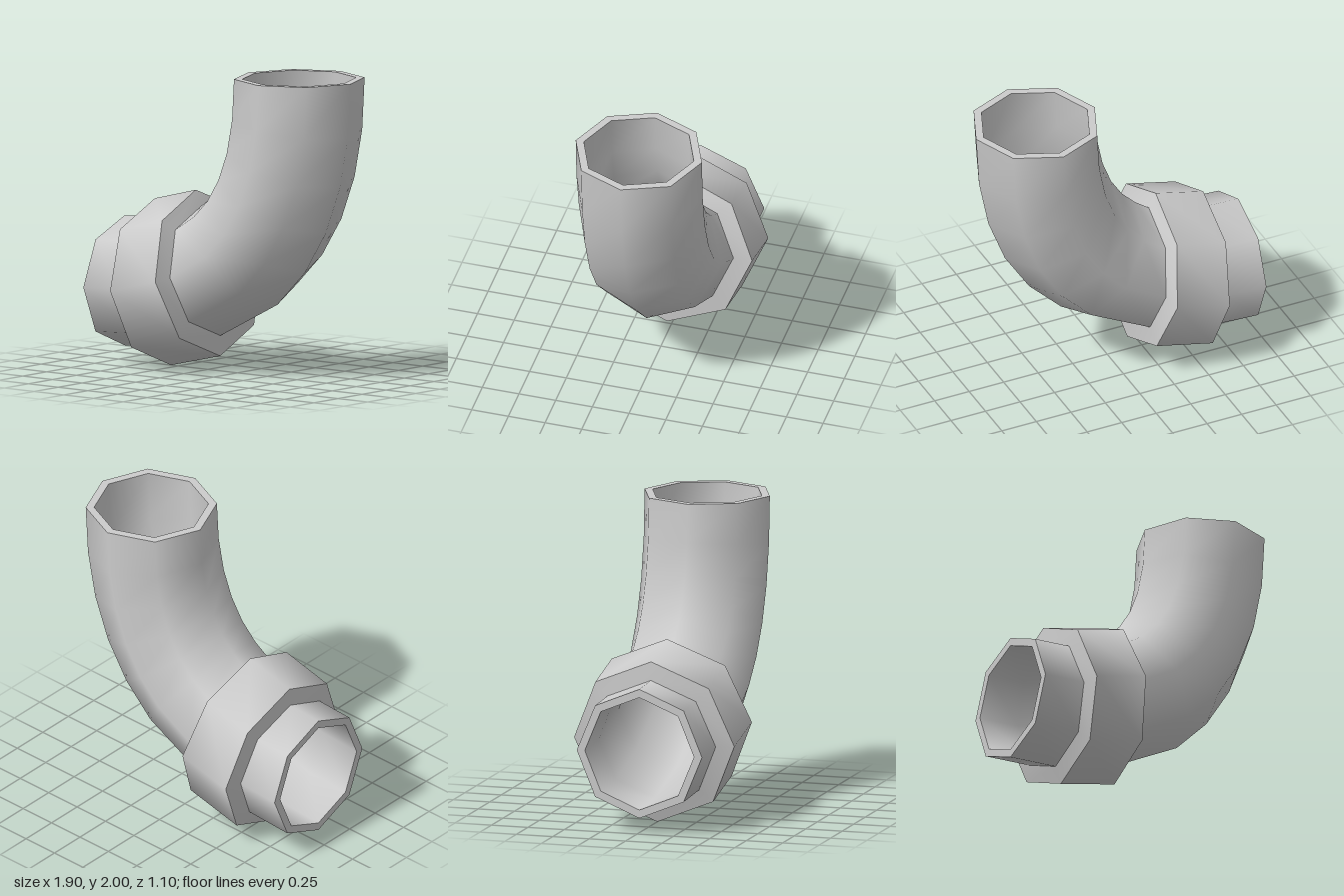
import * as THREE from 'three';
import { toCreasedNormals } from 'three/addons/utils/BufferGeometryUtils.js';

const SIDES = 8;

// A ring is a centre (x, y), the heading of the pipe there and a radius.
const ring = (x, y, angle, r) => ({ x, y, angle, r });

// Skin a row of octagonal rings.
function loft(rings) {
  const pos = [], index = [];
  for (const { x, y, angle, r } of rings) {
    for (let j = 0; j < SIDES; j++) {
      const phi = (j / SIDES) * Math.PI * 2;
      const n = r * Math.cos(phi);
      pos.push(x - n * Math.sin(angle), y + n * Math.cos(angle), r * Math.sin(phi));
    }
  }
  for (let i = 0; i < rings.length - 1; i++) {
    for (let j = 0; j < SIDES; j++) {
      const k = (j + 1) % SIDES;
      const a = i * SIDES + j, b = i * SIDES + k;
      const c = b + SIDES, d = a + SIDES;
      index.push(a, b, c, a, c, d);
    }
  }
  const geo = new THREE.BufferGeometry();
  geo.setAttribute('position', new THREE.Float32BufferAttribute(pos, 3));
  geo.setIndex(index);
  return toCreasedNormals(geo, 0.9);
}

export function createModel() {
  const group = new THREE.Group();
  group.name = 'pipeElbow';
  const material = new THREE.MeshStandardMaterial({ color: 0xcccccc });
  const add = (name, rings) => {
    const mesh = new THREE.Mesh(loft(rings), material);
    mesh.name = name;
    group.add(mesh);
  };

  const OUTER = 0.43, INNER = 0.375, COLLAR = 0.55;

  // Centre line: a quarter bend from the side opening to the top opening
  const bend = [];
  for (let i = 0; i <= 9; i++) {
    const t = i / 9;
    bend.push([-0.95 + 1.47 * (2 * t - t * t), 0.53 + 1.47 * t * t, Math.atan2(t, 1 - t)]);
  }
  // The collar replaces two stations of the bend with its own ends
  const collarStart = [-0.652, 0.546, 0.118];
  const collarEnd = [-0.222, 0.66, 0.185];
  bend.splice(1, 3, collarStart, collarEnd);

  // Pipe wall: outside, rim, back along the inside, rim
  const outside = bend.map((s) => ring(...s, OUTER));
  const inside = bend.map((s) => ring(...s, INNER)).reverse();
  add('pipe', [...outside, ...inside, outside[0]]);

  // Collar around the lower end
  add('collar', [
    ring(...collarStart, OUTER),
    ring(-0.628, 0.55, 0.123, COLLAR),
    ring(-0.248, 0.643, 0.188, COLLAR),
    ring(...collarEnd, OUTER),
  ]);

  return group;
}
